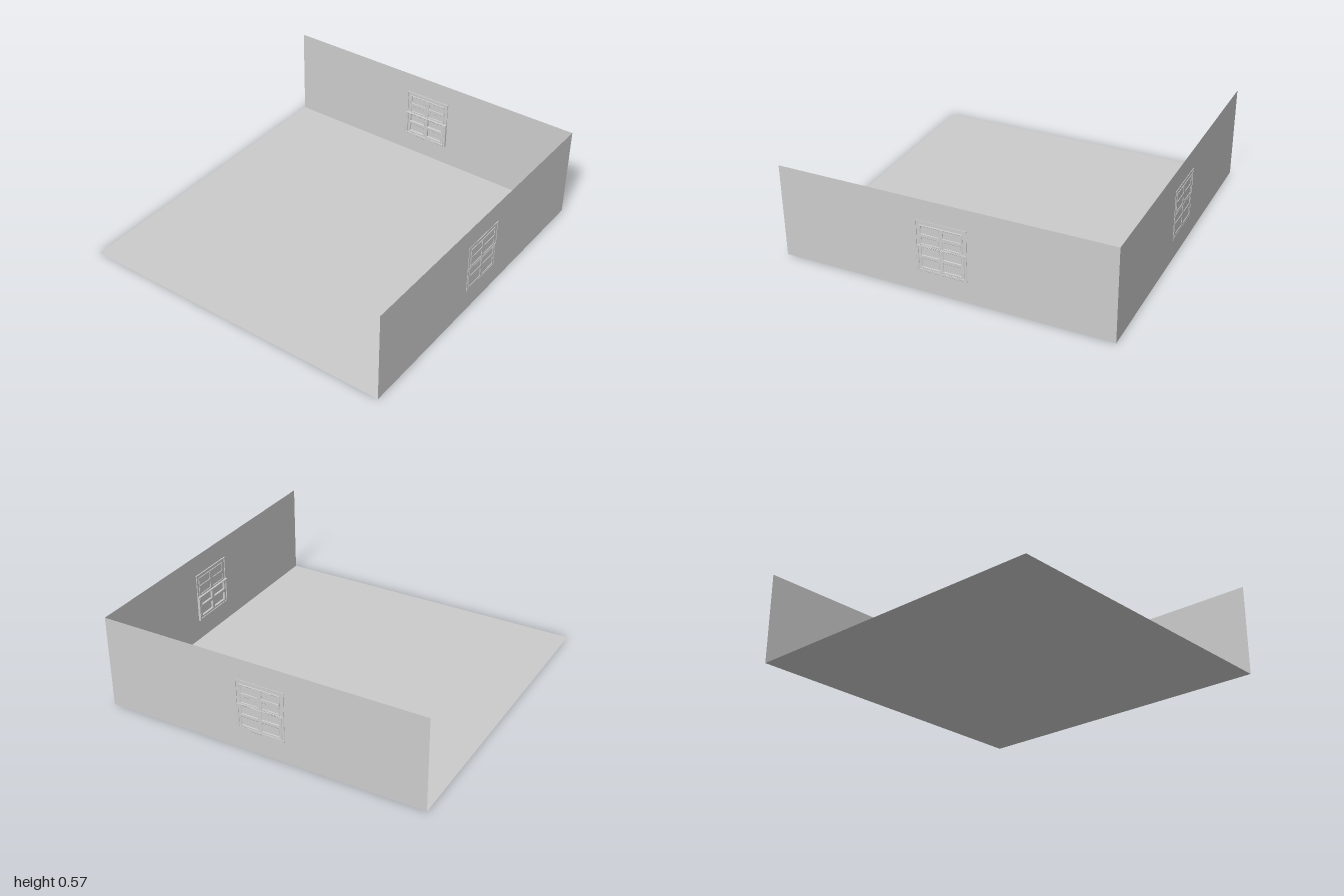
import * as THREE from 'three';

const grey = new THREE.MeshStandardMaterial({ color: 0xcccccc, flatShading: true, side: THREE.DoubleSide });
const X0 = -1, X1 = 0.996, Z0 = -0.993, Z1 = 0.993, WALL_H = 0.57;

function add(parent, name, geometry, x = 0, y = 0, z = 0) {
  const mesh = new THREE.Mesh(geometry, grey);
  mesh.name = name;
  mesh.position.set(x, y, z);
  parent.add(mesh);
  return mesh;
}

function trace(path, x0, y0, x1, y1) {
  path.moveTo(x0, y0);
  path.lineTo(x1, y0);
  path.lineTo(x1, y1);
  path.lineTo(x0, y1);
  path.closePath();
  return path;
}

// Bevelled frame with rectangular openings, running from depth z0 to z1
function frame(outer, openings, z0, z1, bevel) {
  const shape = trace(new THREE.Shape(), ...outer);
  for (const o of openings) shape.holes.push(trace(new THREE.Path(), ...o));
  const geometry = new THREE.ExtrudeGeometry(shape, {
    depth: z1 - z0 - 2 * bevel, bevelEnabled: true, bevelSegments: 1,
    bevelThickness: bevel, bevelSize: bevel, bevelOffset: -bevel,
  });
  return geometry.translate(0, 0, z0 + bevel);
}

function panes(columns, rows) {
  return columns.flatMap(([x0, x1]) => rows.map(([y0, y1]) => [x0, y0, x1, y1]));
}

// Sash window: local +z points into the room, the wall lies at z = 0
function makeWindow() {
  const group = new THREE.Group();
  group.name = 'window';
  const columns = [[-0.117, -0.013], [0.013, 0.117]];

  // Outer casing around the lower half and the sash inside it
  add(group, 'lowerCasing', frame([-0.15, 0.13, 0.15, 0.293],
    [[-0.136, 0.145, 0.136, 0.284]], -0.003, 0.015, 0.002));
  add(group, 'lowerSash', frame([-0.136, 0.143, 0.136, 0.287],
    panes(columns, [[0.16, 0.209], [0.233, 0.28]]), -0.003, 0.012, 0.003));

  // Shallow upper sash
  add(group, 'upperSash', frame([-0.127, 0.292, 0.127, 0.417],
    panes(columns, [[0.304, 0.34], [0.363, 0.408]]), -0.003, 0.004, 0.002));

  // Thin jambs and head
  for (const side of [-1, 1]) {
    add(group, 'jamb', new THREE.BoxGeometry(0.005, 0.15, 0.008), side * 0.1475, 0.367, 0.001);
  }
  add(group, 'head', new THREE.BoxGeometry(0.304, 0.006, 0.011), 0, 0.439, 0.002);
  return group;
}

export function createModel() {
  const room = new THREE.Group();
  room.name = 'room';
  const w = X1 - X0, d = Z1 - Z0, cx = (X0 + X1) / 2, cz = (Z0 + Z1) / 2;

  // Thin floor and the two walls
  add(room, 'floor', new THREE.PlaneGeometry(w, d).rotateX(-Math.PI / 2), cx, 0, cz);
  add(room, 'backWall', new THREE.PlaneGeometry(w, WALL_H), cx, WALL_H / 2, Z0);
  add(room, 'sideWall', new THREE.PlaneGeometry(d, WALL_H).rotateY(-Math.PI / 2), X1, WALL_H / 2, cz);

  // One window in each wall
  const backWindow = makeWindow();
  backWindow.name = 'backWindow';
  backWindow.position.set(-0.008, 0, Z0);
  const sideWindow = makeWindow();
  sideWindow.name = 'sideWindow';
  sideWindow.position.set(X1, 0, 0);
  sideWindow.rotation.y = -Math.PI / 2;
  room.add(backWindow, sideWindow);
  return room;
}
